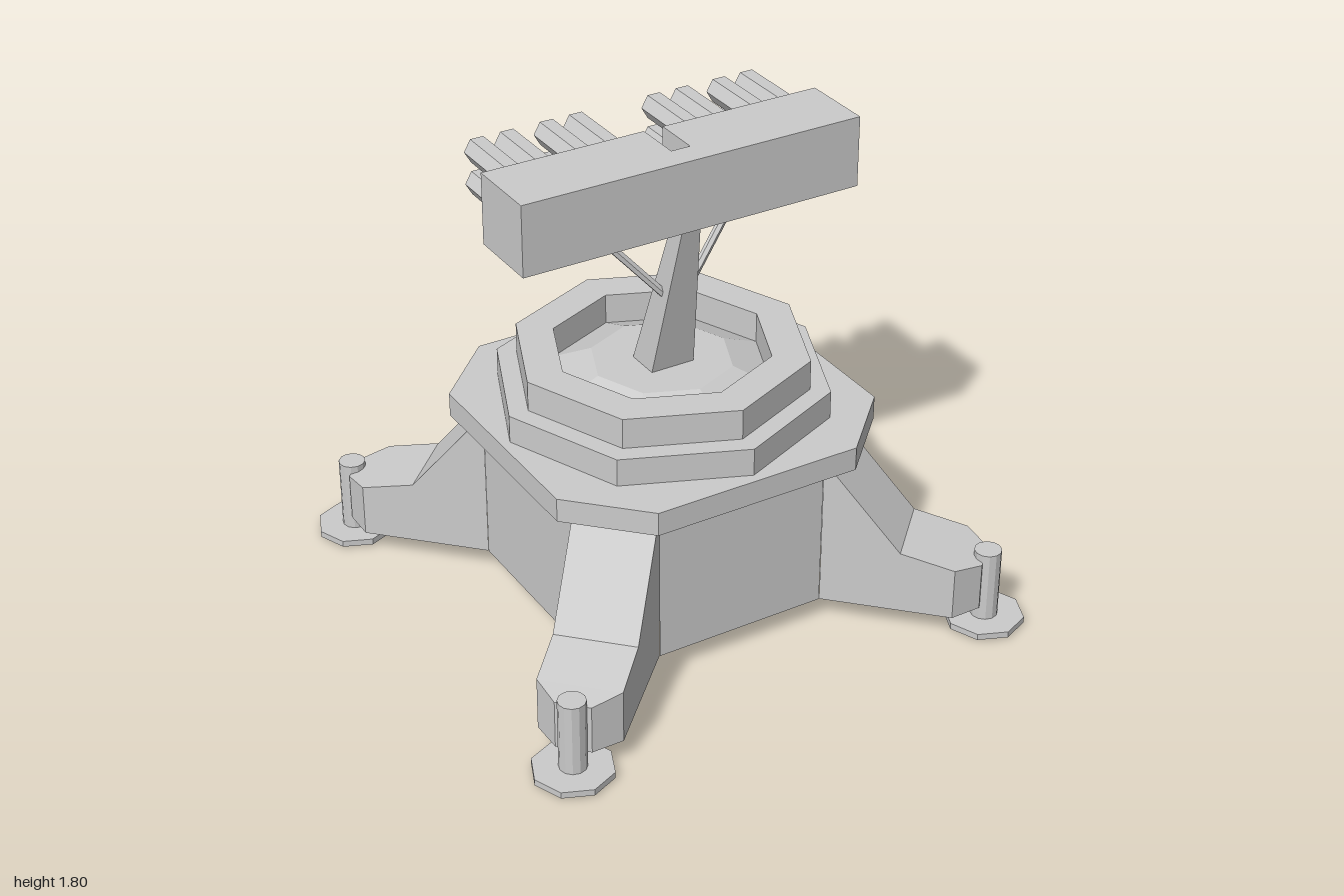
import * as THREE from 'three';

const mat = new THREE.MeshStandardMaterial({ color: 0xcccccc, flatShading: true, side: THREE.DoubleSide });

function add(parent, name, geometry, x = 0, y = 0, z = 0) {
  const mesh = new THREE.Mesh(geometry, mat);
  mesh.name = name;
  mesh.position.set(x, y, z);
  parent.add(mesh);
  return mesh;
}

// Regular polygon outline with its first corner on +x
function polygon(radius, sides) {
  return Array.from({ length: sides }, (_, i) => {
    const a = (i / sides) * Math.PI * 2;
    return new THREE.Vector2(Math.cos(a) * radius, Math.sin(a) * radius);
  });
}

function extrude(outline, depth, hole) {
  const shape = new THREE.Shape(outline);
  if (hole) shape.holes.push(new THREE.Path(hole));
  return new THREE.ExtrudeGeometry(shape, { depth, bevelEnabled: false });
}

// Horizontal plate rising from y = 0
const plate = (outline, height, hole) => extrude(outline, height, hole).rotateX(-Math.PI / 2);

const points = (list) => list.map(([x, y]) => new THREE.Vector2(x, y));

function quadGeometry(quads) {
  const pos = quads.flatMap(([a, b, c, d]) => [a, b, c, a, c, d].flat());
  const g = new THREE.BufferGeometry();
  g.setAttribute('position', new THREE.Float32BufferAttribute(pos, 3));
  g.computeVertexNormals();
  return g;
}

// Hollow leg along +x, open underneath; stations are [distance, half width, top height]
function legGeometry() {
  const b = 0.09;
  const stations = [[0.626, 0.15, 0.68], [0.912, 0.15, 0.335], [1.11, 0.15, 0.292], [1.195, 0.064, 0.275]];
  const quads = [];
  for (let i = 0; i < stations.length - 1; i++) {
    const [u0, w0, y0] = stations[i];
    const [u1, w1, y1] = stations[i + 1];
    quads.push([[u0, y0, w0], [u1, y1, w1], [u1, y1, -w1], [u0, y0, -w0]]);
    quads.push([[u0, b, w0], [u1, b, w1], [u1, y1, w1], [u0, y0, w0]]);
    quads.push([[u0, y0, -w0], [u1, y1, -w1], [u1, b, -w1], [u0, b, -w0]]);
  }
  const [u, w, y] = stations[stations.length - 1];
  quads.push([[u, b, w], [u, b, -w], [u, y, -w], [u, y, w]]);
  return quadGeometry(quads);
}

// Tapered leaning mast, as a box moved by height
function mastGeometry() {
  const g = new THREE.BoxGeometry(1, 1, 1);
  const p = g.attributes.position;
  for (let i = 0; i < p.count; i++) {
    const top = p.getY(i) > 0;
    const front = p.getZ(i) > 0;
    const z = top ? (front ? 0.2 : 0.13) : (front ? 0.068 : -0.068);
    p.setXYZ(i, p.getX(i) * (top ? 0.07 : 0.18), top ? 1.54 : 0.88, z);
  }
  g.computeVertexNormals();
  return g;
}

function rod(parent, name, from, to, radius) {
  const a = new THREE.Vector3(...from);
  const dir = new THREE.Vector3(...to).sub(a);
  const mesh = add(parent, name, new THREE.CylinderGeometry(radius, radius, dir.length(), 6));
  mesh.position.copy(a).addScaledVector(dir, 0.5);
  mesh.quaternion.setFromUnitVectors(new THREE.Vector3(0, 1, 0), dir.normalize());
}

export function createModel() {
  const model = new THREE.Group();
  model.name = 'launcher';

  // Pedestal: four wall panels, four legs with jack posts and feet
  const base = new THREE.Group();
  base.name = 'base';
  model.add(base);
  for (let k = 0; k < 4; k++) {
    const side = new THREE.Group();
    side.name = 'baseSide';
    side.rotation.y = (k * Math.PI) / 2;
    base.add(side);
    add(side, 'wall', new THREE.PlaneGeometry(0.67, 0.59), 0, 0.385, 0.549);
    add(side, 'leg', legGeometry()).rotation.y = Math.PI / 4;
    add(side, 'jackPost', new THREE.CylinderGeometry(0.05, 0.05, 0.305, 12), 0.853, 0.1525, 0.853);
    add(side, 'foot', new THREE.CylinderGeometry(0.147, 0.147, 0.024, 8), 0.853, 0.02, 0.853);
  }

  // Deck and stepped turntable
  const deck = points([[0.4, 0.65], [-0.4, 0.65], [-0.65, 0.4], [-0.65, -0.4],
    [-0.4, -0.65], [0.4, -0.65], [0.65, -0.4], [0.65, 0.4]]);
  add(model, 'deck', plate(deck, 0.09), 0, 0.68, 0);
  add(model, 'lowerRing', plate(polygon(0.615, 8), 0.105), 0, 0.77, 0);
  add(model, 'upperRing', plate(polygon(0.54, 8), 0.115, polygon(0.4, 8)), 0, 0.875, 0);
  add(model, 'mound', new THREE.CylinderGeometry(0.26, 0.4, 0.055, 8), 0, 0.9025, 0);

  // Mast and struts
  add(model, 'mast', mastGeometry());
  for (const s of [-1, 1]) rod(model, 'strut', [s * 0.03, 1.225, 0.1], [s * 0.315, 1.55, 0.02], 0.016);

  // Launch box with a slot in the middle of its back
  const box = points([[-0.66, -0.225], [0.66, -0.225], [0.66, 0.055], [0.037, 0.055],
    [0.037, -0.125], [-0.037, -0.125], [-0.037, 0.055], [-0.66, 0.055]]);
  add(model, 'launchBox', plate(box, 0.265), 0, 1.535, 0);

  // Hexagonal tubes, two rows of eight
  const tube = extrude(polygon(0.05, 6), 0.262, polygon(0.038, 6));
  for (const y of [1.628, 1.748]) {
    for (const x of [0.157, 0.272, 0.425, 0.54]) {
      for (const s of [-1, 1]) add(model, 'launchTube', tube, s * x, y, -0.317);
    }
  }
  return model;
}
